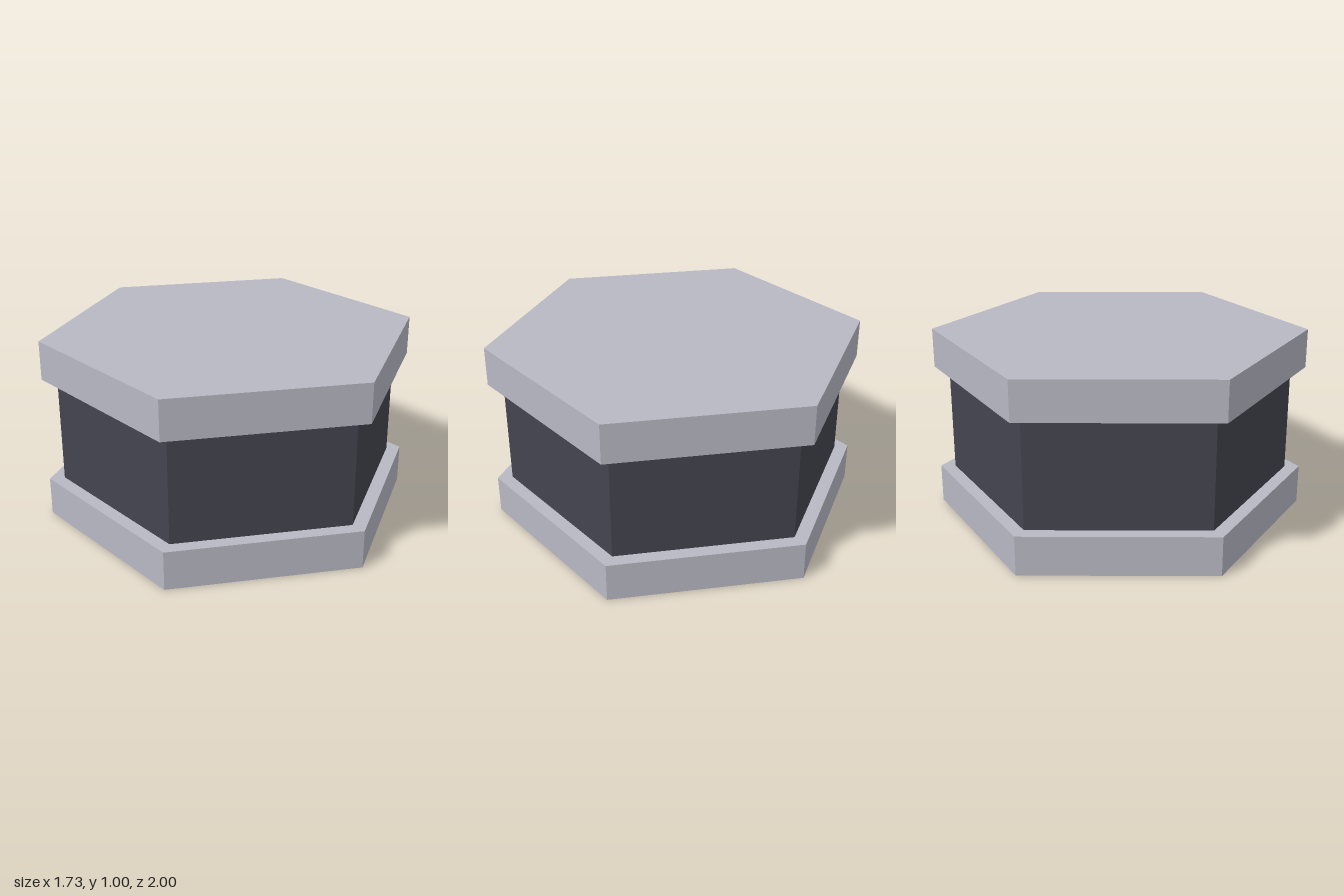
import * as THREE from 'three';

export function createModel() {
  const model = new THREE.Group();
  model.name = 'hexagonalSpool';

  const paleGrey = new THREE.MeshStandardMaterial({ color: 0xb8b8c4 });
  paleGrey.name = 'pale grey';
  const darkSlate = new THREE.MeshStandardMaterial({ color: 0x444450 });
  darkSlate.name = 'dark slate';
  paleGrey.flatShading = darkSlate.flatShading = true;

  // Six-sided prism with corners on the z axis, spanning bottom to top
  function addPrism(name, radius, bottom, top, material, open = false) {
    const geometry = new THREE.CylinderGeometry(radius, radius, top - bottom, 6, 1, open);
    const mesh = new THREE.Mesh(geometry, material);
    mesh.name = name;
    mesh.position.y = (bottom + top) / 2;
    model.add(mesh);
  }

  // Two wide plates with a narrower core between them
  addPrism('basePlate', 1, 0, 0.21, paleGrey);
  addPrism('core', 0.92, 0.21, 0.79, darkSlate, true);
  addPrism('topPlate', 1, 0.79, 1, paleGrey);

  return model;
}
